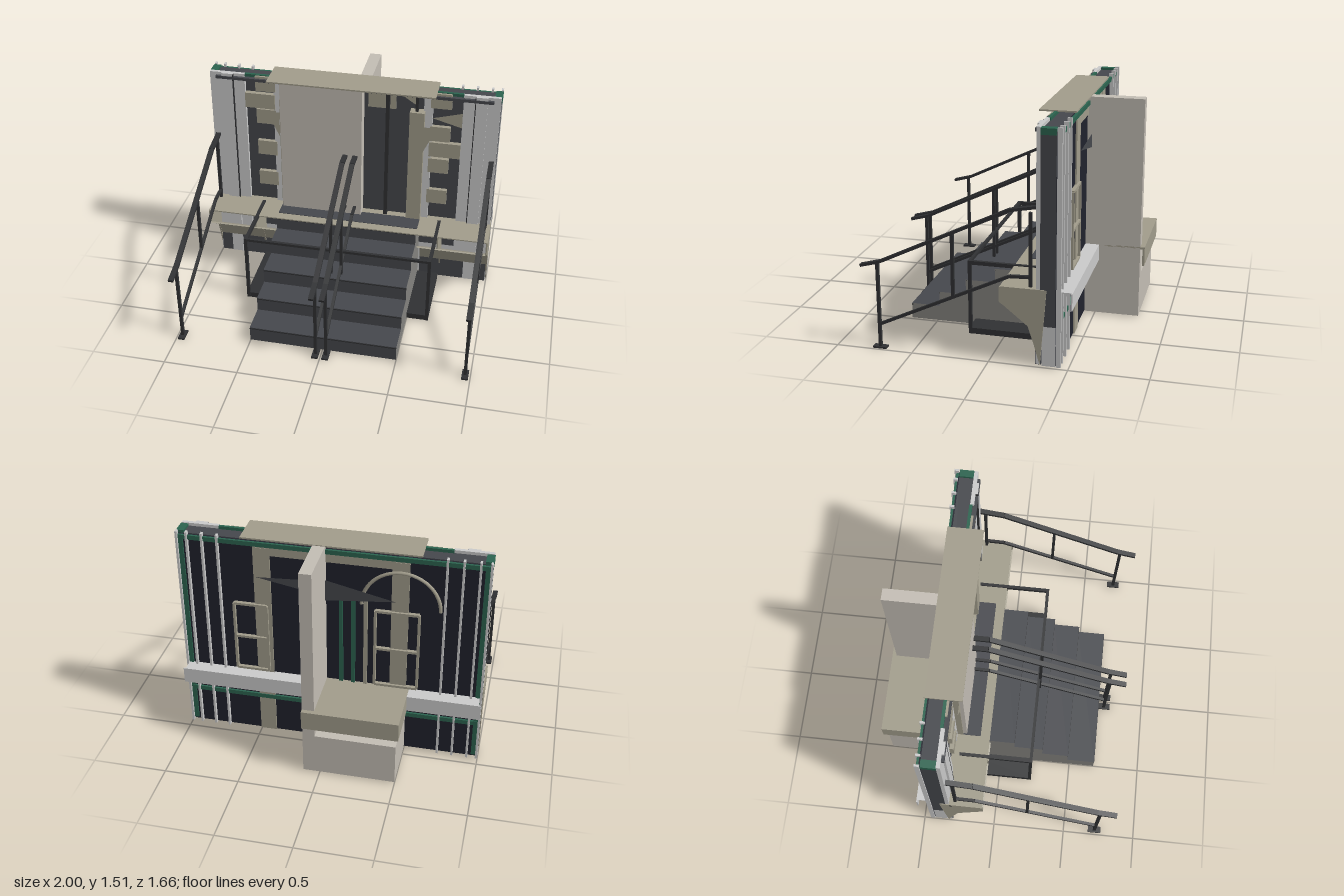
import * as THREE from 'three';

const mat = (color) => new THREE.MeshStandardMaterial({ color, side: THREE.DoubleSide });
const grey = mat(0xcccccc), cream = mat(0xc4beb5), tan = mat(0xa29d8c), dark = mat(0x46484d);
const black = mat(0x303133), navy = mat(0x20222d), green = mat(0x2c6450), stone = mat(0x84837f);

export function createModel() {
  const root = new THREE.Group();
  const add = (name, geo, m, parent = root) => {
    const mesh = new THREE.Mesh(geo, m);
    mesh.name = name;
    parent.add(mesh);
    return mesh;
  };
  // box given by its limits on each axis
  const box = (name, m, x0, x1, y0, y1, z0, z1, parent) => {
    const mesh = add(name, new THREE.BoxGeometry(x1 - x0, y1 - y0, z1 - z0), m, parent);
    mesh.position.set((x0 + x1) / 2, (y0 + y1) / 2, (z0 + z1) / 2);
    return mesh;
  };
  const shapeOf = (pts) => new THREE.Shape(pts.map(([a, b]) => new THREE.Vector2(a, b)));
  // (z, y) outline swept along x
  const sweepX = (pts, x0, x1) => new THREE.ExtrudeGeometry(shapeOf(pts.map(([z, y]) => [-z, y])),
    { depth: x1 - x0, bevelEnabled: false }).rotateY(Math.PI / 2).translate(x0, 0, 0);
  // flat polygon in the xy plane
  const plate = (name, m, pts, z) => {
    add(name, new THREE.ShapeGeometry(shapeOf(pts)), m).position.z = z;
  };

  // Stairs
  const fronts = [0.675, 0.48, 0.295, 0.095, -0.08], tops = [0.115, 0.215, 0.32, 0.415, 0.507];
  const outline = [[-0.27, 0.01]];
  fronts.forEach((z, i) => outline.push([z, i ? tops[i - 1] : 0.01], [z, tops[i]]));
  outline.push([-0.27, tops[4]]);
  add('stairs', sweepX(outline, -0.5, 0.5), [stone, dark]);
  fronts.forEach((z, i) => box('treadLine', black, -0.5, 0.5, tops[i] - 0.012, tops[i] - 0.004, z - 0.01, z + 0.002));

  // Platform frame around the stairs
  for (const s of [-1, 1]) {
    const a = Math.min(s * 0.65, s * 0.5), b = Math.max(s * 0.65, s * 0.5);
    box('platformFloor', black, a, b, 0.01, 0.05, -0.27, 0.23);
    box('platformPost', black, s * 0.64 - 0.011, s * 0.64 + 0.011, 0.01, 0.51, 0.21, 0.232);
    box('platformSideBeam', black, s * 0.64 - 0.011, s * 0.64 + 0.011, 0.49, 0.515, -0.27, 0.232);
  }
  box('platformFrontBeam', black, -0.65, 0.65, 0.497, 0.515, 0.212, 0.232);

  // Handrails: outer pair and centre pair
  const bar = (name, x, w, p, q, g) => {
    const d = Math.hypot(q[0] - p[0], q[1] - p[1]);
    const m = add(name, new THREE.BoxGeometry(w, 0.018, d), black, g);
    m.position.set(x, (p[1] + q[1]) / 2, (p[0] + q[0]) / 2);
    m.rotation.x = -Math.atan2(q[1] - p[1], q[0] - p[0]);
  };
  for (const x of [-0.965, -0.035, 0.035, 0.965]) {
    const g = new THREE.Group(), outer = Math.abs(x) > 0.5;
    g.name = outer ? 'outerHandrail' : 'centreHandrail';
    root.add(g);
    const top = [[0.83, 0.55], [0.7, 0.585], [-0.13, 0.985], outer ? [-0.32, 1.02] : [-0.27, 0.985]];
    for (let i = 0; i < 3; i++) bar('topRail', x, 0.034, top[i], top[i + 1], g);
    bar('lowerRail', x, 0.02, [0.72, 0.16], [-0.13, 0.565], g);
    bar('lowerRailEnd', x, 0.02, [-0.13, 0.565], [-0.26, 0.57], g);
    for (const [z, y0, y1] of [[0.72, 0, 0.575], [0.23, outer ? 0.39 : 0.32, 0.805], [-0.26, 0.51, 0.98]])
      box('railPost', black, x - 0.01, x + 0.01, y0, y1, z - 0.01, z + 0.01, g);
    box('footPlate', black, x - 0.022, x + 0.022, 0, 0.012, 0.675, 0.765, g);
  }

  // Long shelf with curved underside, open along its front edge
  box('shelfTop', tan, -1, 1, 0.5, 0.508, -0.36, -0.075);
  box('shelfLanding', dark, -0.5, 0.5, 0.5, 0.511, -0.27, -0.14);
  const bracket = [[-0.07, 0.505], [-0.365, 0.505], [-0.355, 0.37], [-0.325, 0.015], [-0.29, 0.14],
    [-0.25, 0.265], [-0.07, 0.41]];
  for (const x of [-1, -0.66, 0.65, 0.99]) add('shelfBracket', sweepX(bracket, x, x + 0.01), tan);
  const under = [[-0.07, 0.4], [-0.245, 0.28], [-0.285, 0.17], [-0.295, 0.17], [-0.255, 0.285], [-0.08, 0.405]];
  for (const x of [-0.99, 0.51]) {
    add('shelfUnderside', sweepX(under, x, x + 0.48), tan);
    box('baseBoard', dark, x, x + 0.48, 0.015, 0.17, -0.33, -0.295);
  }
  box('shelfRail', black, -1, -0.65, 0.47, 0.5, -0.3, -0.28);

  // Main wall
  box('wallCore', dark, -0.995, 0.995, 0.27, 1.48, -0.42, -0.325);
  box('wallFoot', grey, -0.995, 0.995, 0.01, 0.27, -0.42, -0.335);
  box('wallBack', navy, -0.99, 0.99, 0.015, 1.48, -0.43, -0.415);
  box('topCap', dark, -0.95, 0.95, 1.465, 1.485, -0.42, -0.28);
  for (const s of [-1, 1]) {
    const span = (name, m, a, b, ...r) => box(name, m, Math.min(s * a, s * b), Math.max(s * a, s * b), ...r);
    // stepped grey cladding at each end
    span('sidePanel', grey, 0.75, 0.83, 0.02, 1.505, -0.325, -0.3);
    span('sidePanel', grey, 0.83, 0.91, 0.02, 1.505, -0.325, -0.285);
    span('sidePanel', grey, 0.91, 0.995, 0.02, 1.505, -0.325, -0.3);
    span('panelGap', black, 0.827, 0.833, 0.4, 1.5, -0.3, -0.284);
    span('cornerTrim', green, 0.95, 1, 1.46, 1.5, -0.42, -0.325);
    span('topTrim', green, 0.48, 0.75, 1.46, 1.505, -0.33, -0.31);
    span('innerPanel', grey, 0.49, 0.55, 0.5, 1.46, -0.325, -0.3);
    span('frontColumn', tan, 0.4, 0.5, 0.5, 1.36, -0.325, -0.26);
    for (const y of [0.64, 0.89, 1.14, 1.39]) span('square', tan, 0.535, 0.675, y, y + 0.11, -0.325, -0.295);
    plate('wedge', tan, [[s * 0.59, 1.26], [s * 0.5, 1.26], [s * 0.5, 1.07]], -0.255);
    // rear trims
    span('rearColumn', tan, 0.39, 0.5, 0.015, 1.44, -0.44, -0.425);
    span('rearEdgeTrim', green, 0.955, 0.985, 0.03, 1.48, -0.44, -0.425);
    for (const x of [0.72, 0.82, 0.92, 0.985]) span('rearFin', grey, x, x + 0.014, 0.01, 1.505, -0.455, -0.425);
  }
  box('longBlock', tan, -0.75, -0.54, 1.26, 1.37, -0.325, -0.29);
  box('longBlock', tan, 0.535, 0.75, 1.02, 1.13, -0.325, -0.29);
  plate('pointedBlock', tan, [[0.55, 1.315], [0.75, 1.26], [0.75, 1.37]], -0.295);

  // Entrance: broad panel, door post, sign plate and canopy
  box('entrancePanel', cream, -0.49, 0.08, 0.5, 1.5, -0.33, -0.235);
  box('doorPost', black, 0.235, 0.26, 0.5, 1.5, -0.31, -0.28);
  box('doorPost', black, 0.435, 0.455, 1.36, 1.5, -0.31, -0.28);
  box('lintelPlate', tan, 0.11, 0.3, 1.35, 1.495, -0.32, -0.305);
  plate('lintelWedge', tan, [[0.33, 1.47], [0.45, 1.39], [0.45, 1.5]], -0.3);
  box('canopy', tan, -0.575, 0.575, 1.5, 1.51, -0.45, -0.215);

  // Rear fin wall, counter and cabinet
  box('rearFinWall', cream, 0.03, 0.11, 0.01, 1.505, -0.8, -0.42);
  box('counterTop', tan, -0.52, 0.11, 0.49, 0.505, -0.83, -0.43);
  box('counterApron', tan, -0.52, 0.11, 0.375, 0.49, -0.83, -0.815);
  box('counterEnd', tan, -0.52, -0.505, 0.375, 0.49, -0.815, -0.43);
  box('cabinet', cream, -0.5, 0.03, 0.01, 0.3, -0.8, -0.43);
  box('rearShelfFace', grey, -1, 1, 0.39, 0.5, -0.523, -0.515);
  box('rearShelfTop', grey, -0.985, 0.985, 0.492, 0.5, -0.52, -0.43);

  // Rear wall trims, window frames and arch
  box('rearHeader', tan, -0.5, 0.5, 1.39, 1.45, -0.438, -0.425);
  for (const y of [0.28, 1.45]) box('rearRailTrim', green, -0.98, 0.98, y, y + 0.03, -0.445, -0.425);
  for (const x of [-0.24, -0.16, -0.08]) box('rearPost', x < -0.2 ? tan : green, x, x + 0.025, 0.5, 1.15, -0.445, -0.425);
  for (const [x0, x1, y0, y1] of [[0.42, 0.64, 0.52, 1.02], [-0.57, -0.29, 0.52, 1.08]]) {
    for (const x of [x0, x1]) box('windowUpright', tan, x - 0.008, x + 0.008, y0, y1, -0.455, -0.425);
    for (const y of [y0, (y0 + y1) / 2, y1]) box('windowBar', tan, x0, x1, y - 0.008, y + 0.008, -0.455, -0.425);
  }
  add('rearArch', new THREE.TorusGeometry(0.25, 0.012, 6, 24, Math.PI), tan).position.set(-0.45, 1.12, -0.44);
  plate('rearWedge', dark, [[0.1, 1.29], [0.1, 1.12], [-0.42, 1.17]], -0.46);
  plate('rearWedge', dark, [[0.11, 1.26], [0.11, 1.17], [0.48, 1.24]], -0.46);
  return root;
}
